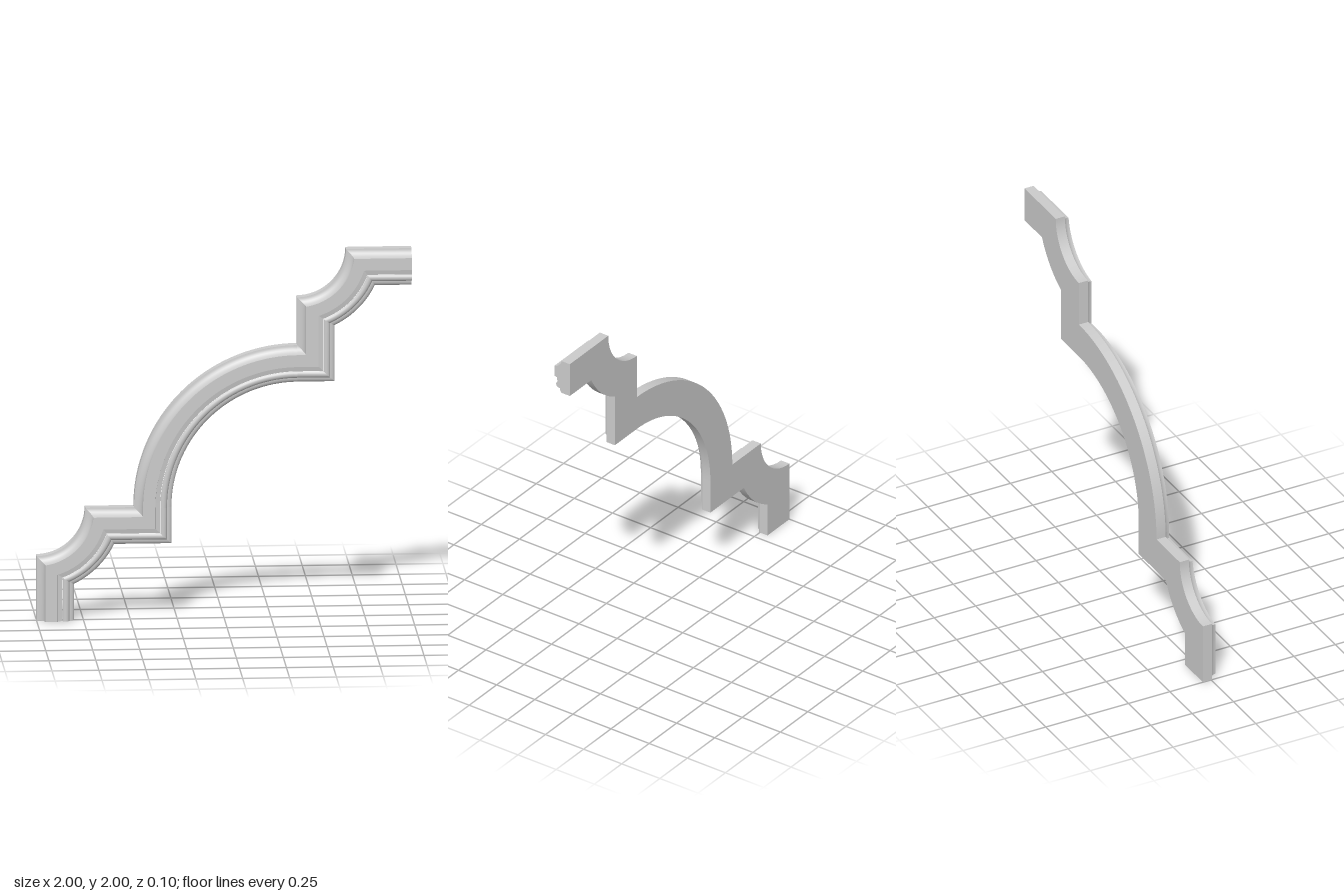
import * as THREE from 'three';
import { mergeGeometries } from 'three/addons/utils/BufferGeometryUtils.js';

// points of an arc as [x, y], angles in radians
function arc(cx, cy, rx, ry, a0, a1, n) {
  return Array.from({ length: n + 1 }, (_, i) => {
    const a = a0 + ((a1 - a0) * i) / n;
    return [cx + rx * Math.cos(a), cy + ry * Math.sin(a)];
  });
}

// Moulding profile as smooth runs of [distance from outer edge, z]; creases lie between runs
const PI = Math.PI;
const runs = [
  [[0, -0.05], [0, 0.005]],                         // outer side
  arc(0, 0.05, 0.045, 0.045, -PI / 2, 0, 8),        // cove
  [[0.045, 0.05], [0.11, 0.05]],                    // flat face
  [[0.11, 0.05], [0.112, 0.036]],                   // step
  [[0.112, 0.036], [0.137, 0.031]],                 // fillet
  arc(0.155, 0.026, 0.018, 0.014, PI * 0.88, 0, 8), // bead
  [[0.173, 0.026], [0.175, 0.016]],                 // quirk
  arc(0.175, 0, 0.025, 0.016, PI / 2, 0, 6),        // lower round
  [[0.2, 0], [0.2, -0.05]],                         // inner side
  [[0.2, -0.05], [0, -0.05]],                       // back
];

// Path of the frame at distance d from its outer edge, as segments that meet at mitres
function pathAt(d) {
  const r = 0.26 + d;
  const reach = Math.sqrt(r * r - d * d);
  const tilt = Math.asin(d / r);
  const scoop = arc(-1, 0.61, r, r, -PI / 2 + tilt, -tilt, 20);
  const half = [
    [[-1 + d, 0], [-1 + d, 0.61 - reach]],
    scoop,
    [[-1 + reach, 0.61 - d], [-0.48 + d, 0.61 - d]],
    [[-0.48 + d, 0.61 - d], [-0.48 + d, 0.61]],
  ];
  const bow = arc(0.39, 0.61, 0.87 - d, 0.87 - d, PI, PI / 2, 48);
  // the upper half mirrors the lower one across the diagonal
  const upper = half.map((s) => s.map(([x, y]) => [1 - y, 1 - x]).reverse()).reverse();
  return [...half, bow, ...upper];
}

// Surface of one profile run along one path segment
function strip(run, seg) {
  const pos = [], index = [];
  const rows = run.map(([d, z]) => pathAt(d)[seg].map(([x, y]) => [x, y, z]));
  const n = rows[0].length;
  rows.forEach((row) => row.forEach((p) => pos.push(...p)));
  for (let i = 0; i < rows.length - 1; i++) {
    for (let j = 0; j < n - 1; j++) {
      const a = i * n + j, b = a + n;
      index.push(a, b, b + 1, a, b + 1, a + 1);
    }
  }
  const g = new THREE.BufferGeometry();
  g.setAttribute('position', new THREE.Float32BufferAttribute(pos, 3));
  g.setIndex(index);
  g.computeVertexNormals();
  return g;
}

// Flat end in the shape of the profile
function endCap(sign) {
  const pts = runs.flatMap((run) => run.slice(0, -1)).map(([d, z]) => new THREE.Vector2(sign * d, z));
  return new THREE.ShapeGeometry(new THREE.Shape(pts));
}

export function createModel() {
  const group = new THREE.Group();
  group.name = 'cornerMoulding';
  const material = new THREE.MeshStandardMaterial({ color: 0xcccccc });
  const add = (name, geometry) => {
    const mesh = new THREE.Mesh(geometry, material);
    mesh.name = name;
    group.add(mesh);
  };

  const names = ['lowerLeg', 'lowerScoop', 'lowerLedge', 'lowerReturn', 'bow',
    'upperReturn', 'upperLedge', 'upperScoop', 'upperLeg'];
  names.forEach((name, seg) => add(name, mergeGeometries(runs.map((run) => strip(run, seg)))));

  add('lowerEnd', endCap(1).rotateX(PI / 2).translate(-1, 0, 0));
  const turn = new THREE.Matrix4().makeBasis(
    new THREE.Vector3(0, 1, 0), new THREE.Vector3(0, 0, 1), new THREE.Vector3(1, 0, 0));
  add('upperEnd', endCap(-1).applyMatrix4(turn).translate(1, 2, 0));
  return group;
}
